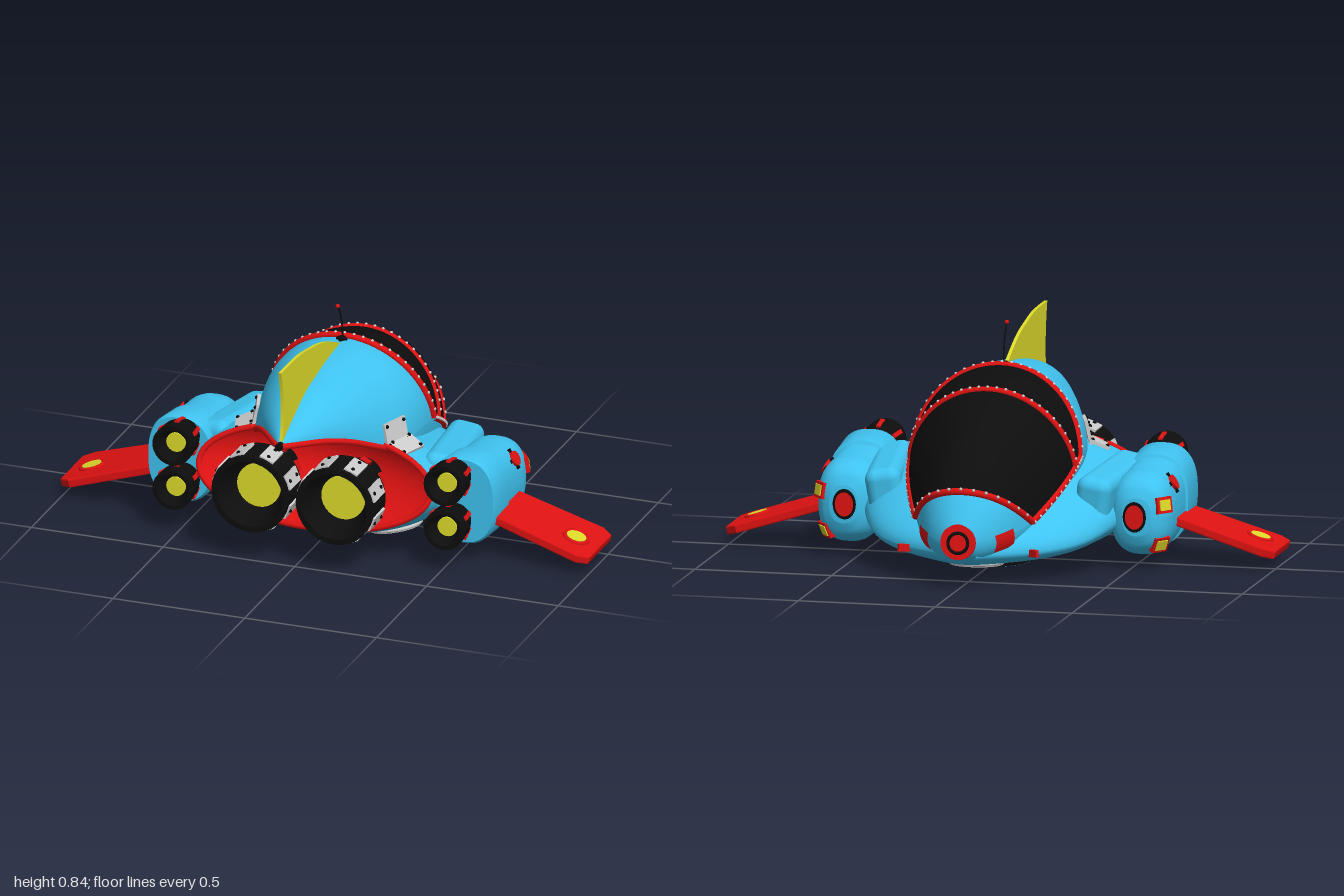
import * as THREE from 'three';
import { mergeGeometries, toCreasedNormals } from 'three/addons/utils/BufferGeometryUtils.js';
import { RoundedBoxGeometry } from 'three/addons/geometries/RoundedBoxGeometry.js';

const { PI, sin, cos, sqrt, abs, sign, max, min, pow } = Math;
const V = (x, y, z) => new THREE.Vector3(x, y, z);
const paint = (color) => new THREE.MeshStandardMaterial({ color, side: THREE.DoubleSide });

// Smooth lookup through rows of [z, a, b, ...]
function track(rows) {
  const n = rows[0].length - 1;
  const it = new THREE.CubicInterpolant(rows.map((r) => r[0]), rows.flatMap((r) => r.slice(1)), n, new Array(n));
  return (z) => [...it.evaluate(max(rows[0][0], min(rows[rows.length - 1][0], z)))];
}

// Smooth sheet from a function of u, v in 0..1
function sheet(nu, nv, f) {
  const pos = [], idx = [];
  for (let i = 0; i <= nu; i++) for (let j = 0; j <= nv; j++) pos.push(...f(i / nu, j / nv));
  for (let i = 0; i < nu; i++) for (let j = 0; j < nv; j++) {
    const a = i * (nv + 1) + j, b = a + nv + 1;
    idx.push(a, a + 1, b, b, a + 1, b + 1);
  }
  const g = new THREE.BufferGeometry();
  g.setAttribute('position', new THREE.Float32BufferAttribute(pos, 3));
  g.setIndex(idx);
  g.computeVertexNormals();
  return g;
}

const at = (g, x, y, z, rx = 0, ry = 0, rz = 0) =>
  g.applyMatrix4(new THREE.Matrix4().makeRotationFromEuler(new THREE.Euler(rx, ry, rz)).setPosition(x, y, z));
const box = (x, y, z) => new THREE.BoxGeometry(x, y, z);
const discY = (r, h) => new THREE.CylinderGeometry(r, r, h, 28);
const discZ = (r, h) => discY(r, h).rotateX(PI / 2);
const latheZ = (pts) => toCreasedNormals(new THREE.LatheGeometry(pts.map((p) => new THREE.Vector2(...p)), 32).rotateX(PI / 2), 0.6);
const tube = (pts, r, n = 60) => new THREE.TubeGeometry(new THREE.CatmullRomCurve3(pts), n, r, 8);
const rivets = (pts, r = 0.006) => mergeGeometries(pts.map((p) => new THREE.SphereGeometry(r, 8, 6).translate(p.x, p.y, p.z)));
const ring = (n, r, make) => mergeGeometries([...Array(n)].map((_, i) => make().translate(r, 0, 0).rotateZ((i + 0.5) * 2 * PI / n)));

function mirrored(g) {
  const m = g.clone().scale(-1, 1, 1);
  const src = m.index ? [...m.index.array] : [...Array(m.attributes.position.count).keys()];
  for (let i = 0; i < src.length; i += 3) [src[i], src[i + 1]] = [src[i + 1], src[i]];
  m.setIndex(src);
  return m;
}

// Upper hull: z, half width, base, crown, keel
const hull = track([
  [-0.655, 0.06, 0.17, 0.235, 0.11], [-0.6, 0.12, 0.18, 0.34, 0.082], [-0.43, 0.205, 0.205, 0.515, 0.062],
  [-0.2, 0.285, 0.33, 0.64, 0.06], [0, 0.3, 0.39, 0.688, 0.1], [0.2, 0.262, 0.37, 0.677, 0.2],
  [0.3, 0.22, 0.42, 0.66, 0.3], [0.4, 0.168, 0.467, 0.64, 0.4], [0.52, 0.095, 0.503, 0.592, 0.5], [0.65, 0.008, 0.52, 0.53, 0.515]]);
function hullX(z, y) {
  const [w, base, top, keel] = hull(z);
  const u = y > base ? (y - base) / (top - base) : (base - y) / (base - keel);
  return w * sqrt(max(0, 1 - u * u));
}
// Wide lower body: z, half width, middle, top, bottom
const saucer = track([
  [-0.63, 0.06, 0.12, 0.16, 0.09], [-0.55, 0.14, 0.115, 0.18, 0.07], [-0.45, 0.27, 0.115, 0.21, 0.058], [-0.35, 0.37, 0.13, 0.26, 0.05],
  [-0.2, 0.45, 0.17, 0.34, 0.045], [0, 0.49, 0.215, 0.39, 0.03], [0.18, 0.475, 0.25, 0.425, 0.04], [0.3, 0.44, 0.265, 0.43, 0.1]]);
function saucerPoint(z, a) {
  const [w, mid, top, bot] = saucer(z), s = sin(a);
  const dy = s * (s > 0 ? top - mid : mid - bot);
  const lean = THREE.MathUtils.smoothstep(z, 0, 0.3) * 0.42;
  return [w * cos(a), mid + dy, z - dy * lean];
}
// Side pod: z, scale, middle
const pod = track([[-0.185, 0.45, 0.198], [-0.175, 0.64, 0.198], [-0.15, 0.83, 0.198], [-0.1, 0.97, 0.198], [-0.04, 1, 0.2], [0.1, 1, 0.216], [0.24, 1, 0.232]]);
function podPoint(z, a, k = 1) {
  const [s, cy] = pod(z), sup = (t) => sign(t) * pow(abs(t), 0.8);
  return [0.535 + 0.115 * s * k * sup(cos(a)), cy + 0.152 * s * k * sup(sin(a)), z];
}

export function createModel() {
  const model = new THREE.Group();
  const blue = paint(0x3fc3f0), red = paint(0xe01212), black = paint(0x0d0d0d), yellow = paint(0xdedb2a), grey = paint(0xcccccc);
  const add = (name, g, m) => {
    const mesh = new THREE.Mesh(g, m);
    mesh.name = name;
    model.add(mesh);
  };
  const pair = (name, g, m) => { add(name + 'Left', g, m); add(name + 'Right', mirrored(g), m); };

  // Upper hull with its open tail hood
  const arch = (z, a, k = 1) => {
    const [w, base, top, keel] = hull(z), s = sin(a);
    return [w * k * cos(a), base + s * k * (s > 0 ? top - base : base - keel), z];
  };
  add('upperHull', sheet(64, 40, (u, v) => arch(-0.655 + 1.305 * u, v * PI)), blue);
  add('hullKeel', sheet(36, 24, (u, v) => arch(-0.655 + 0.84 * u, -v * PI)), blue);
  add('hoodLining', sheet(30, 30, (u, v) => arch(0.1 + 0.54 * u, v * PI, 0.95)), red);
  const rim = [0.2, 0.3, 0.4, 0.5, 0.6].map((z) => V(hull(z)[0], hull(z)[1], z));
  add('hoodRim', tube([...rim, V(0, 0.522, 0.65), ...rim.map((p) => V(-p.x, p.y, p.z)).reverse()], 0.011, 80), red);
  add('tailTip', discZ(0.014, 0.025).translate(0, 0.522, 0.648), black);

  // Lower body, rear dish and belly scoop
  add('lowerBody', sheet(48, 64, (u, v) => saucerPoint(-0.63 + 0.93 * u, v * 2 * PI)), blue);
  add('rearDish', sheet(12, 64, (u, v) => {
    const [x, y, z] = saucerPoint(0.3, v * 2 * PI), k = 1 - u;
    return [x * k, 0.265 + (y - 0.265) * k, 0.3 + (z - 0.3) * k - 0.1 * (1 - k * k)];
  }), red);
  add('dishRim', new THREE.TubeGeometry(new THREE.CatmullRomCurve3(
    [...Array(32)].map((_, i) => V(...saucerPoint(0.3, i * PI / 16))), true), 96, 0.011, 8, true), red);
  const scoop = (u, v) => {
    const z = -0.2 + 0.4 * u, bot = saucer(z)[3], a = v * PI;
    return [0.2 * cos(a) * (1 - 0.4 * u), bot + 0.025 - sin(a) * (0.025 + 0.045 * (1 - u)), z];
  };
  add('bellyScoop', sheet(16, 24, scoop), blue);
  add('scoopMouth', sheet(1, 24, (u, v) => { const p = scoop(0, v); return [p[0], p[1] + u * (0.07 - p[1]), -0.198]; }), black);
  const pad = (r) => mergeGeometries([discY(r, 0.02), new THREE.TorusGeometry(r, 0.008, 8, 32).rotateX(PI / 2)]);
  add('frontPad', at(pad(0.095), 0, 0.053, -0.38, 0.05), grey);
  pair('rearPad', at(pad(0.095), 0.24, 0.056, 0.13, -0.08, 0, 0.2), grey);

  // Canopy, swept between the slanted rear and front frames
  const frames = [[0, -0.09, 0.39, 0], [0.3, -0.143, 0.362, -0.21], [1, -0.42, 0.212, -0.6]];
  const slice = track(frames);
  const onCanopy = (s, v, lift) => {
    const [zb, yb, zt] = slice(s), a = v * PI, t = sin(a), top = hull(zt)[2];
    const z = zb + (zt - zb) * t, y = yb + (top - yb) * t;
    return V(sign(cos(a)) * hullX(z, y) + lift * cos(a), y + lift * t, z - lift * s * t);
  };
  add('canopyGlass', sheet(40, 48, (u, v) => onCanopy(u, v, 0.006).toArray()), black);
  const steps = (n, f) => [...Array(n + 1)].map((_, i) => f(i / n));
  ['rearFrame', 'middleFrame', 'frontFrame'].forEach((name, i) => {
    const s = frames[i][0];
    add(name, tube(steps(32, (v) => onCanopy(s, v, 0.004)), 0.013, 80), red);
    add(name + 'Rivets', rivets(steps(i === 2 ? 14 : 28, (v) => onCanopy(s, v, 0.015))), grey);
  });
  pair('sillFrame', tube(steps(16, (s) => onCanopy(s, 0, 0.004)), 0.013), red);
  pair('sillRivets', rivets(steps(14, (s) => onCanopy(s, 0, 0.015))), grey);

  // Nose cap and side markers
  add('noseCap', at(discZ(0.064, 0.03), 0, 0.17, -0.645, 0.12), red);
  add('noseRing', at(new THREE.TorusGeometry(0.036, 0.006, 8, 28), 0, 0.168, -0.661, 0.12), black);
  const patch = (q, lift) => sheet(8, 8, (u, v) => {
    const mix = (k) => (1 - v) * (q[0][k] * (1 - u) + q[1][k] * u) + v * (q[3][k] * (1 - u) + q[2][k] * u);
    return [hullX(mix(0), mix(1)) + lift, mix(1), mix(0)];
  });
  pair('noseMarker', patch([[-0.51, 0.14], [-0.59, 0.125], [-0.605, 0.19], [-0.53, 0.205]], 0.007), red);
  pair('lowerMarker', at(box(0.012, 0.026, 0.085), 0.222, 0.11, -0.485, 0.15, -0.86, 0.15), red);

  // Dorsal fin
  const fin = new THREE.Shape();
  fin.moveTo(0.03, 0.675);
  fin.splineThru([[0.13, 0.72], [0.24, 0.76], [0.36, 0.785], [0.48, 0.802], [0.65, 0.805]].map((p) => new THREE.Vector2(...p)));
  fin.quadraticCurveTo(0.605, 0.66, 0.638, 0.53);
  fin.lineTo(0.4, 0.62);
  fin.lineTo(0.2, 0.66);
  add('dorsalFin', new THREE.ExtrudeGeometry(fin, { depth: 0.012, bevelEnabled: false, curveSegments: 20 }).rotateY(-PI / 2).translate(0.006, 0, 0), yellow);

  // Antenna
  add('antenna', tube([V(0, 0.685, 0.02), V(0, 0.73, 0.025), V(0, 0.775, 0.035), V(0, 0.832, 0.068)], 0.003, 20), black);
  add('antennaBall', new THREE.SphereGeometry(0.008, 12, 8).translate(0, 0.834, 0.07), red);
  add('antennaBase', mergeGeometries([discY(0.014, 0.014), box(0.04, 0.008, 0.01), box(0.01, 0.008, 0.04)]).translate(0, 0.693, 0.03), black);

  // Main engines
  const E = [0.16, 0.265, 0];
  pair('mainEngine', latheZ([[0.06, 0.2], [0.09, 0.28], [0.115, 0.36], [0.142, 0.385], [0.145, 0.53], [0.125, 0.53], [0.085, 0.43], [0, 0.43]]).translate(...E), black);
  pair('mainEngineGlow', discZ(0.082, 0.01).translate(0.16, 0.265, 0.435), yellow);
  pair('mainEnginePlates', ring(8, 0.142, () => box(0.014, 0.055, 0.105).translate(0, 0, 0.458)).translate(...E), grey);
  pair('plateBolts', ring(8, 0.15, () => rivets([V(0, 0, 0.425), V(0, 0, 0.49)], 0.007)).translate(...E), black);
  pair('mainEngineStrips', ring(8, 0.11, () => box(0.02, 0.035, 0.08).rotateY(0.3).translate(0, 0, 0.335)).translate(...E), red);

  // Side pods with collar, back plate and fairing
  pair('pod', sheet(40, 48, (u, v) => podPoint(-0.185 + 0.425 * u, v * 2 * PI)), blue);
  const collar = [[0.085, 1], [0.09, 1.07], [0.225, 1.09], [0.24, 1.04], [0.24, 0]];
  pair('podCollar', toCreasedNormals(sheet(4, 48, (u, v) => podPoint(collar[Math.round(u * 4)][0], v * 2 * PI, collar[Math.round(u * 4)][1])), 0.6), blue);
  pair('podNose', sheet(4, 48, (u, v) => { const p = podPoint(-0.185, v * 2 * PI, 1 - u); p[2] -= 0.006 * u; return p; }), blue);
  pair('podFairing', at(new RoundedBoxGeometry(0.13, 0.2, 0.44, 4, 0.04), 0.4, 0.255, -0.01, -0.08, 0.12, -0.15), blue);
  pair('podIntake', at(discZ(0.045, 0.016).scale(0.85, 1.1, 1), 0.53, 0.2, -0.188), red);
  pair('podIntakeRing', at(new THREE.TorusGeometry(0.044, 0.006, 8, 28).scale(0.85, 1.1, 1), 0.53, 0.2, -0.192), black);

  // Pod lamps and valve
  for (const [name, y, x, z, tilt] of [['upperLamp', 0.24, 0.624, -0.148, 0.15], ['lowerLamp', 0.098, 0.608, -0.135, -0.4]]) {
    pair(name + 'Frame', at(box(0.022, 0.058, 0.066), x, y, z, 0, 0.65, tilt), red);
    pair(name, at(box(0.03, 0.038, 0.046), x, y, z, 0, 0.65, tilt), yellow);
  }
  pair('podValve', at(discY(0.027, 0.03), 0.627, 0.298, -0.03, 0, 0, -1.05), red);
  pair('podValveCross', at(mergeGeometries([box(0.014, 0.018, 0.078), box(0.078, 0.018, 0.014)]), 0.626, 0.298, -0.03, 0, 0, -1.05), black);

  // Small pod engines
  for (const [name, y] of [['upperThruster', 0.335], ['lowerThruster', 0.165]]) {
    pair(name, latheZ([[0.045, 0.22], [0.06, 0.25], [0.072, 0.29], [0.075, 0.37], [0.06, 0.37], [0.036, 0.325], [0, 0.325]]).translate(0.515, y, 0), black);
    pair(name + 'Glow', discZ(0.036, 0.008).translate(0.515, y, 0.33), yellow);
    pair(name + 'Ribs', ring(6, 0.067, () => box(0.014, 0.016, 0.07).rotateY(0.18).translate(0, 0, 0.29)).translate(0.515, y, 0), red);
  }

  // Wings
  const wing = new THREE.Shape([[0, -0.035], [0.35, -0.045], [0.388, -0.02], [0.388, 0.195], [0.35, 0.22], [0, 0.205]].map((p) => new THREE.Vector2(...p)));
  const onWing = (g) => at(g, 0.627, 0.168, 0, 0, 0, -0.3);
  pair('wing', onWing(new THREE.ExtrudeGeometry(wing, { depth: 0.02, bevelSize: 0.004, bevelThickness: 0.006, bevelSegments: 2 }).rotateX(PI / 2).translate(0, 0.01, 0)), red);
  pair('wingLampRing', onWing(new THREE.TorusGeometry(0.042, 0.008, 8, 28).rotateX(PI / 2).translate(0.3, 0.016, 0.105)), red);
  pair('wingLamp', onWing(discY(0.036, 0.046).translate(0.3, 0, 0.105)), yellow);

  // Riveted patch plates where the hull meets the body
  const plate = (w, h) => box(0.012, h, w);
  const bolts = (w, h) => rivets([-1, 1].flatMap((i) => [-1, 1].map((j) => V(0.007, i * h * 0.38, j * w * 0.4))), 0.007);
  for (const [name, h, x, y, rz] of [['upperPlate', 0.09, 0.265, 0.435, 0.22], ['lowerPlate', 0.075, 0.305, 0.393, 1.15]]) {
    pair(name, at(plate(0.115, h), x, y, 0.19, 0, -0.32, rz), grey);
    pair(name + 'Bolts', at(bolts(0.115, h), x, y, 0.19, 0, -0.32, rz), black);
  }
  return model;
}
